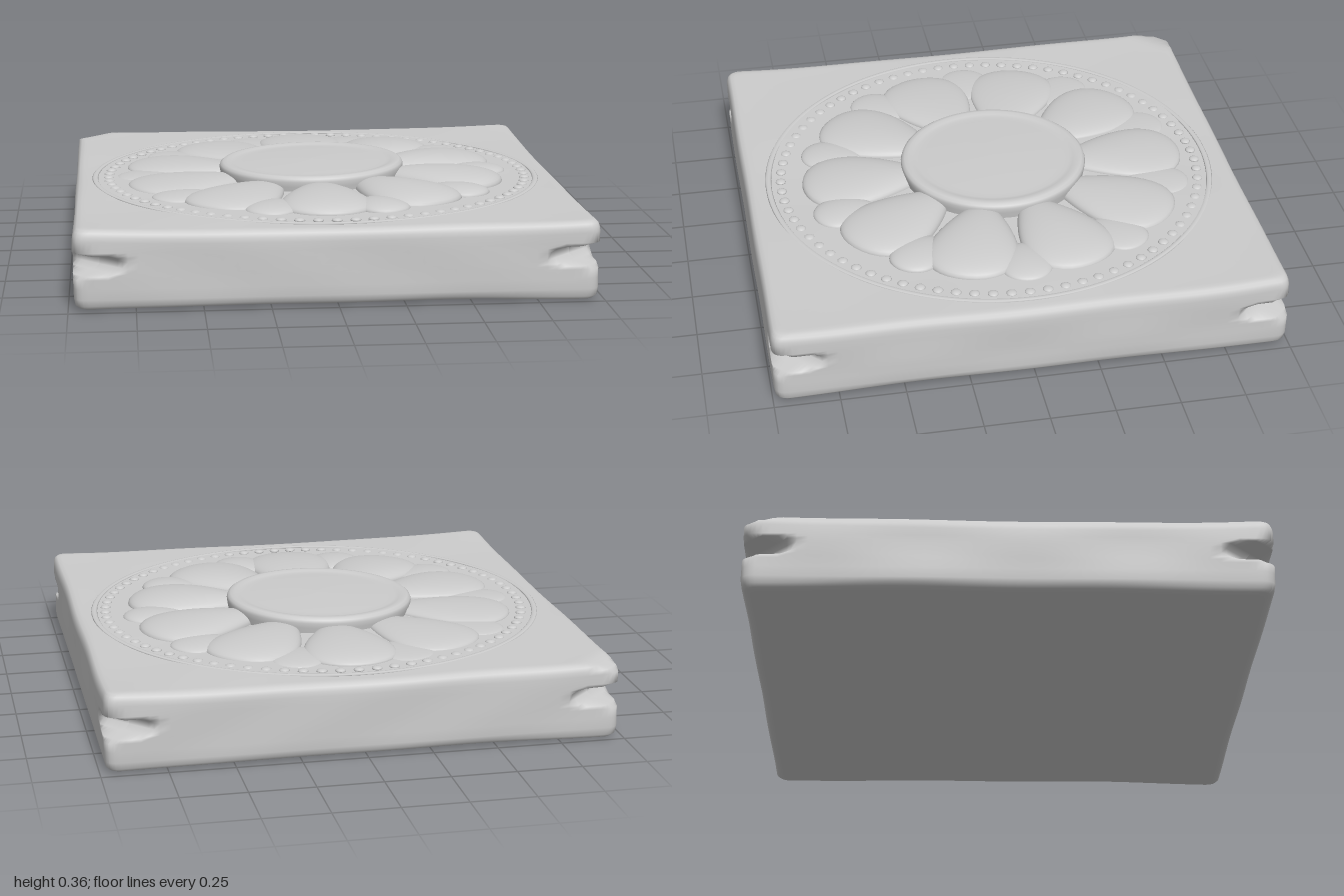
import * as THREE from 'three';

const HX = 0.98, HZ = 0.993, TOP = 0.3;
const stone = new THREE.MeshStandardMaterial({ color: 0xcccccc, roughness: 0.9 });

function part(name, geometry) {
  const mesh = new THREE.Mesh(geometry, stone);
  mesh.name = name;
  return mesh;
}

// One rounded-square outline with its corners cut back diagonally
function outline(inset, cut, chip) {
  const points = [], r = 0.045, perSide = 48;
  for (let side = 0; side < 4; side++) {
    for (let i = 0; i < perSide; i++) {
      const t = Math.sin((i / perSide - 0.5) * Math.PI);
      let [x, z] = [[1, t], [-t, 1], [-1, -t], [t, -1]][side];
      x *= HX - inset;
      z *= HZ - inset;
      const qx = THREE.MathUtils.clamp(x, -(HX - inset - r), HX - inset - r);
      const qz = THREE.MathUtils.clamp(z, -(HZ - inset - r), HZ - inset - r);
      const d = Math.hypot(x - qx, z - qz) || 1;
      x = qx + (x - qx) * r / d;
      z = qz + (z - qz) * r / d;
      const limit = HX + HZ - Math.max(cut, x < 0 && z < 0 ? chip : 0);
      const over = Math.max(0, Math.abs(x) + Math.abs(z) - limit) / 2;
      points.push([x - Math.sign(x) * over, z - Math.sign(z) * over]);
    }
  }
  return points;
}

// Worn slab: outlines stacked from the middle of the base to the middle of the top
function slabGeometry() {
  // y, inset, corner cut, chip at the back right corner, scale
  const rings = [];
  const capScales = [0, 0.2, 0.4, 0.55, 0.7, 0.82, 0.92, 0.98];
  for (const s of capScales) rings.push([0.012, 0.035, 0, 0, s]);
  rings.push(
    [0.012, 0.035, 0, 0, 1], [0.018, 0.016, 0, 0, 1], [0.03, 0.005, 0, 0, 1], [0.05, 0, 0, 0, 1],
    [0.09, 0, 0, 0, 1], [0.125, 0, 0, 0, 1], [0.138, 0, 0.06, 0, 1], [0.148, 0, 0.16, 0, 1],
    [0.165, 0, 0.2, 0, 1], [0.19, 0, 0.2, 0, 1], [0.205, 0, 0.17, 0, 1], [0.215, 0, 0.07, 0, 1],
    [0.226, 0, 0, 0, 1], [0.255, 0, 0, 0, 1], [0.272, 0.002, 0, 0.06, 1],
    [0.287, 0.007, 0, 0.12, 1], [0.296, 0.016, 0, 0.16, 1], [TOP, 0.032, 0, 0.2, 1]);
  for (const s of [...capScales].reverse()) rings.push([TOP, 0.032, 0, 0.2, s]);

  const position = [], index = [];
  let n = 0;
  for (const [y, inset, cut, chip, scale] of rings) {
    const ring = outline(inset, cut, chip);
    n = ring.length;
    for (const [px, pz] of ring) {
      const x = px * scale, z = pz * scale;
      // raised and drooping corners, gentle unevenness
      const corner = Math.pow(Math.abs(x * z), 3);
      const wave = 0.003 * Math.sin(7 * x + 2 * z) * Math.sin(6 * z - x);
      const lift = y > 0.25 ? 0.016 * corner + wave : y < 0.05 ? -0.009 * corner + wave : 0;
      const wobble = 1 + 0.0025 * Math.sin(9 * x + 20 * y) * Math.sin(8 * z + 1);
      position.push(x * wobble, y + lift, z * wobble);
    }
  }
  for (let j = 0; j < rings.length - 1; j++) {
    for (let i = 0; i < n; i++) {
      const a = j * n + i, b = j * n + (i + 1) % n;
      index.push(a, a + n, b, b, a + n, b + n);
    }
  }
  const geometry = new THREE.BufferGeometry();
  geometry.setAttribute('position', new THREE.Float32BufferAttribute(position, 3));
  geometry.setIndex(index);
  geometry.computeVertexNormals();
  return geometry;
}

// Plump petal lying along +x, widening with distance from the centre
function petalGeometry(inner, outer, halfWidth, height) {
  const geometry = new THREE.SphereGeometry(1, 40, 24);
  const p = geometry.attributes.position;
  const mid = (inner + outer) / 2, half = (outer - inner) / 2;
  for (let i = 0; i < p.count; i++) {
    const r = mid + p.getX(i) * half;
    const y = p.getY(i);
    p.setXYZ(i, r, Math.sign(y) * Math.pow(Math.abs(y), 0.85) * height, p.getZ(i) * halfWidth * r / mid);
  }
  geometry.computeVertexNormals();
  return geometry;
}

function flower() {
  const group = new THREE.Group();
  group.name = 'flower';
  group.position.set(-0.01, TOP - 0.003, -0.02);
  for (let i = 0; i < 10; i++) {
    const angle = (i + 0.5) * Math.PI / 5;
    // relief is more worn towards the right and back
    const wear = 0.011 * Math.cos(angle - 0.5);
    const petal = part('petal', petalGeometry(0.27, 0.785, 0.165, 0.046 + wear));
    petal.rotation.y = -angle;
    const sepal = part('outerPetalTip', petalGeometry(0.55, 0.8, 0.1, 0.023 + wear));
    sepal.rotation.y = -angle - Math.PI / 10;
    group.add(petal, sepal);
  }
  return group;
}

// Round flower centre with a soft raised rim
function centreDisc() {
  const profile = [[0.366, 0.28], [0.374, 0.32], [0.377, 0.34], [0.373, 0.352], [0.362, 0.36], [0.345, 0.362],
    [0.328, 0.357], [0.31, 0.354], [0.28, 0.356], [0.15, 0.361], [0, 0.363]];
  const disc = part('centreDisc', new THREE.LatheGeometry(profile.map(([x, y]) => new THREE.Vector2(x, y)), 72));
  disc.position.set(-0.01, 0, -0.02);
  disc.rotation.z = 0.015;
  return disc;
}

// Ring of low beads with a fine line around it
function beadBorder() {
  const group = new THREE.Group();
  group.name = 'beadBorder';
  group.position.y = TOP;
  const bead = new THREE.SphereGeometry(0.021, 12, 8);
  const count = 76;
  for (let i = 0; i < count; i++) {
    const a = i / count * Math.PI * 2;
    const mesh = part('bead', bead);
    mesh.position.set(0.005 + 0.85 * Math.cos(a), 0, 0.85 * Math.sin(a));
    mesh.scale.y = 0.45;
    group.add(mesh);
  }
  const line = part('borderLine', new THREE.TorusGeometry(0.9, 0.012, 8, 120));
  line.rotation.x = Math.PI / 2;
  line.scale.z = 0.4;
  group.add(line);
  return group;
}

export function createModel() {
  const model = new THREE.Group();
  model.name = 'flowerTile';
  model.add(part('slab', slabGeometry()), flower(), centreDisc(), beadBorder());
  return model;
}
